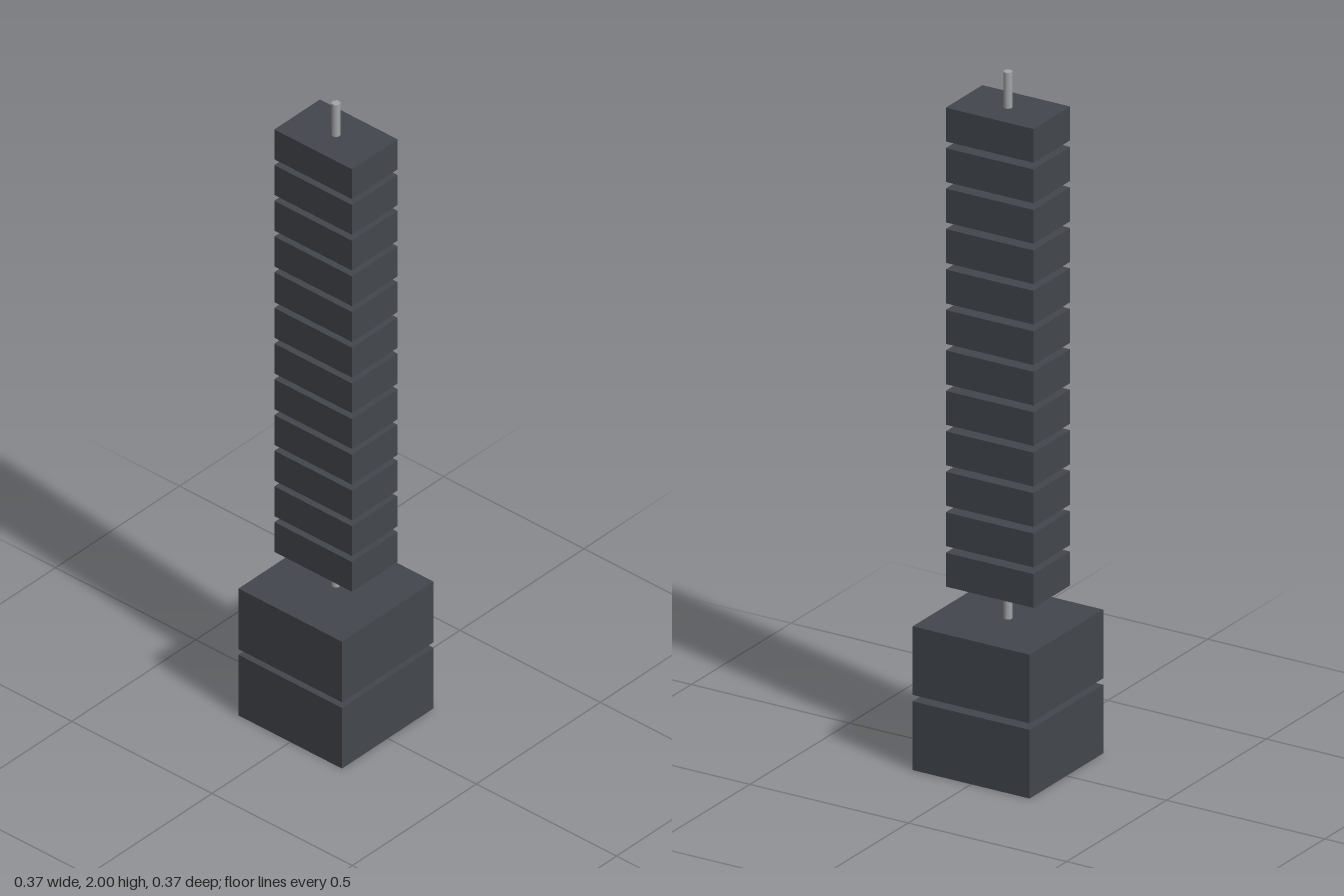
import * as THREE from 'three';

export function createModel() {
  const group = new THREE.Group();
  const slate = new THREE.MeshStandardMaterial({ color: 0x43474d });
  slate.name = 'dark slate';
  const steel = new THREE.MeshStandardMaterial({ color: 0xa3a5a8 });
  steel.name = 'steel grey';

  const addBlock = (name, width, height, depth, bottom) => {
    const mesh = new THREE.Mesh(new THREE.BoxGeometry(width, height, depth), slate);
    mesh.name = name;
    mesh.position.y = bottom + height / 2;
    group.add(mesh);
  };

  // Two square base blocks with a narrow gap
  for (let i = 0; i < 2; i++) addBlock(`baseBlock${i + 1}`, 0.369, 0.199, 0.369, i * 0.2175);

  // Stack of twelve evenly spaced slabs
  for (let i = 0; i < 12; i++) addBlock(`slab${i + 1}`, 0.277, 0.098, 0.184, 0.509 + i * 0.1172);

  // Central rod running through every block
  const rodBottom = 0.002;
  const rod = new THREE.Mesh(new THREE.CylinderGeometry(0.0125, 0.0125, 2 - rodBottom, 8), steel);
  rod.geometry.rotateY(Math.PI / 8);
  rod.name = 'centralRod';
  rod.position.y = (2 + rodBottom) / 2;
  group.add(rod);

  return group;
}
